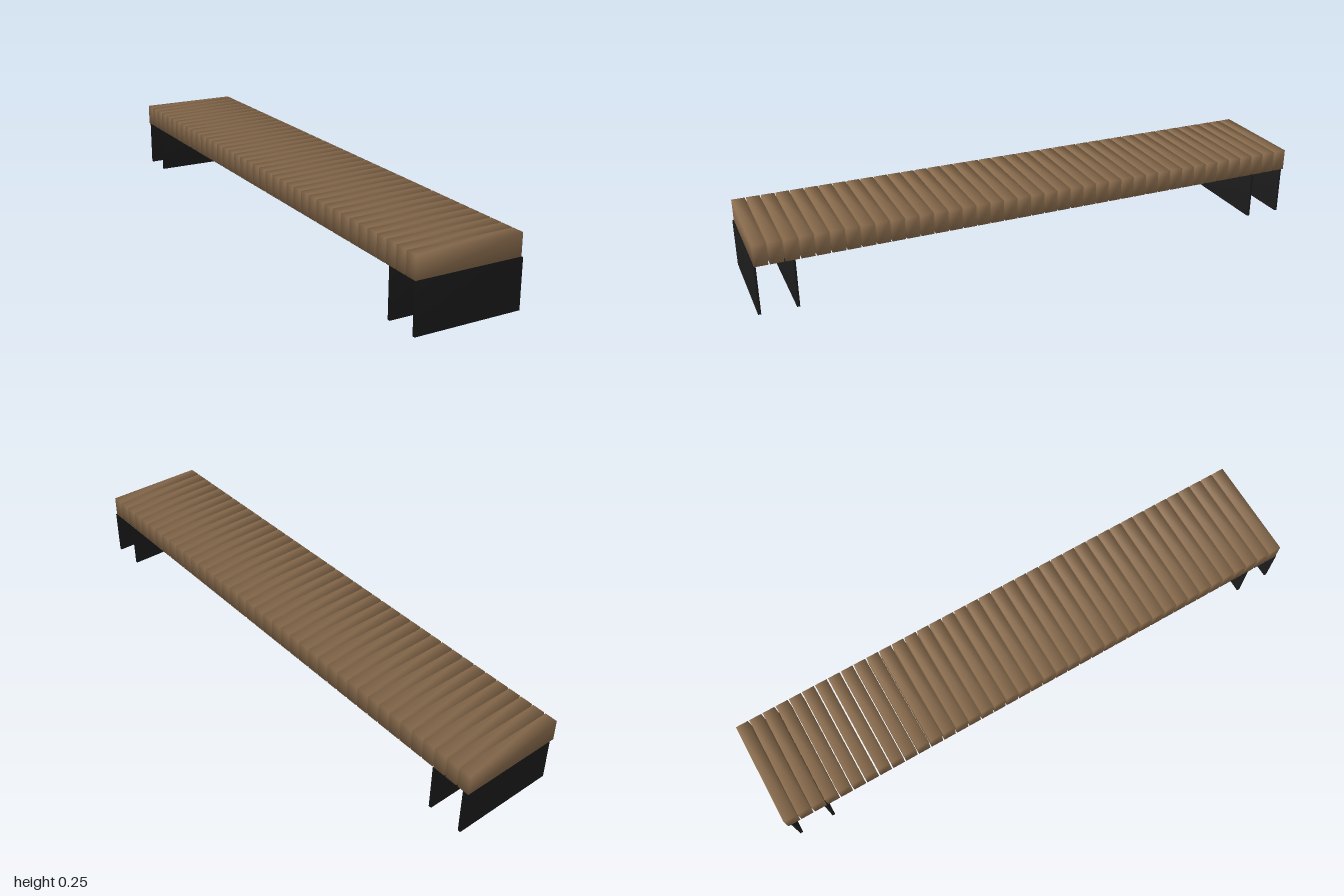
import * as THREE from 'three';
import { mergeVertices } from 'three/addons/utils/BufferGeometryUtils.js';

// Box whose corners share normals, giving softly shaded edges
function softBox(w, h, d) {
  const box = new THREE.BoxGeometry(w, h, d);
  box.deleteAttribute('normal');
  box.deleteAttribute('uv');
  const geometry = mergeVertices(box);
  geometry.computeVertexNormals();
  return geometry;
}

export function createModel() {
  const bench = new THREE.Group();
  bench.name = 'slattedBench';

  const wood = new THREE.MeshStandardMaterial({ color: 0x8b6d4e });
  const steel = new THREE.MeshStandardMaterial({ color: 0x1c1c1c });

  const add = (parent, name, geometry, material, x, y, z) => {
    const mesh = new THREE.Mesh(geometry, material);
    mesh.name = name;
    mesh.position.set(x, y, z);
    parent.add(mesh);
  };

  // Seat: a row of crosswise wooden slats with narrow gaps
  const seat = new THREE.Group();
  seat.name = 'seat';
  bench.add(seat);
  const slatCount = 40, pitch = 0.05, slatDepth = 0.045;
  const slat = softBox(0.375, 0.076, slatDepth);
  for (let i = 0; i < slatCount; i++) {
    add(seat, 'slat', slat, wood, -0.0015, 0.207, -1 + slatDepth / 2 + i * pitch);
  }

  // Legs: a pair of thin upright plates under each end
  const legs = new THREE.Group();
  legs.name = 'legs';
  bench.add(legs);
  const plate = softBox(0.376, 0.169, 0.01);
  for (const z of [0.995, 0.87, -0.859, -0.985]) {
    add(legs, 'legPlate', plate, steel, 0, 0.0845, z);
  }

  return bench;
}
